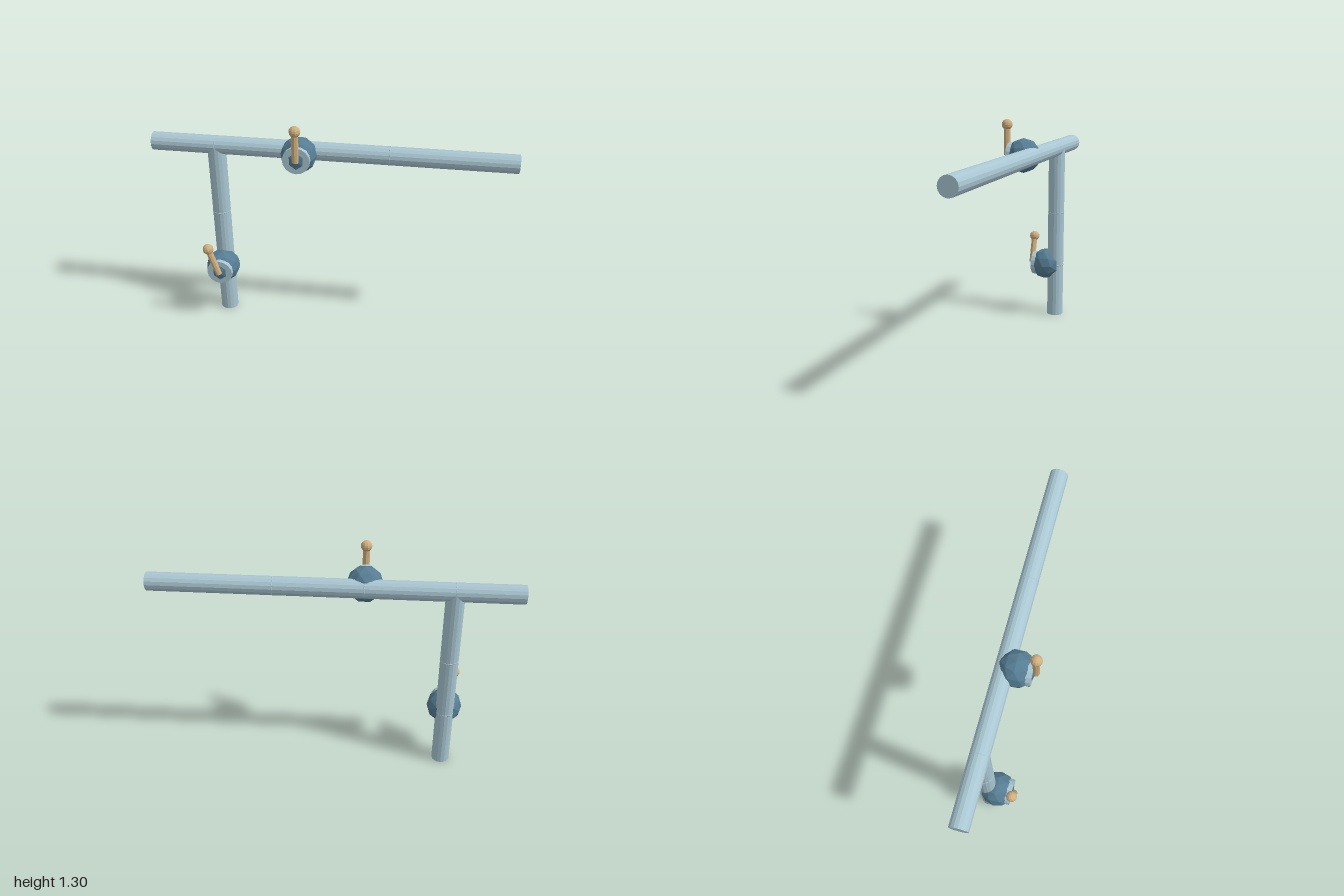
import * as THREE from 'three';

const mat = (name, color) => {
  const m = new THREE.MeshStandardMaterial({ color, flatShading: true });
  m.name = name;
  return m;
};

export function createModel() {
  const steel = mat('pale blue steel', 0xa9c6d2);
  const iron = mat('dark blue iron', 0x567d93);
  const wood = mat('tan wood', 0xd0b080);
  const model = new THREE.Group();
  model.name = 'pipeworkWithValves';

  const add = (parent, name, geometry, material, x = 0, y = 0, z = 0) => {
    const mesh = new THREE.Mesh(geometry, material);
    mesh.name = name;
    mesh.position.set(x, y, z);
    parent.add(mesh);
    return mesh;
  };

  const pipeZ = -0.067, beamY = 1.093, postX = -0.64;

  // Pipes
  add(model, 'horizontalPipe', new THREE.CylinderGeometry(0.051, 0.051, 2, 16), steel, 0, beamY, pipeZ)
    .rotation.z = Math.PI / 2;
  add(model, 'verticalPipe', new THREE.CylinderGeometry(0.051, 0.051, beamY, 16), steel, postX, beamY / 2, pipeZ);

  // Joint rings, just proud of the pipes
  const ring = (radius) => new THREE.TorusGeometry(radius, 0.014, 6, 12);
  for (const x of [postX, -0.165, 0.32]) {
    add(model, 'horizontalPipeRing', ring(0.0385), steel, x, beamY, pipeZ).rotation.y = Math.PI / 2;
  }
  for (const y of [0.335, 0.68]) {
    add(model, 'verticalPipeRing', ring(0.0395), steel, postX, y, pipeZ).rotation.x = Math.PI / 2;
  }

  // Valves: faceted body, front flange, lever with a knob
  const addValve = (x, y, tilt) => {
    const valve = new THREE.Group();
    valve.name = 'valve';
    valve.position.set(x, y, 0);
    add(valve, 'valveBody', new THREE.IcosahedronGeometry(0.1, 1), iron, 0, 0, -0.006);
    add(valve, 'valveFlange', new THREE.CylinderGeometry(0.075, 0.075, 0.03, 16), steel, 0, 0, 0.065)
      .rotation.x = Math.PI / 2;
    const lever = new THREE.Group();
    lever.name = 'lever';
    lever.position.z = 0.093;
    lever.rotation.z = tilt;
    add(lever, 'leverArm', new THREE.CylinderGeometry(0.019, 0.019, 0.17, 8), wood, 0, 0.085);
    add(lever, 'leverKnob', new THREE.SphereGeometry(0.031, 10, 8), wood, 0, 0.174);
    valve.add(lever);
    model.add(valve);
  };
  addValve(-0.165, beamY, 0);
  addValve(postX, 0.335, 0.3);

  return model;
}
